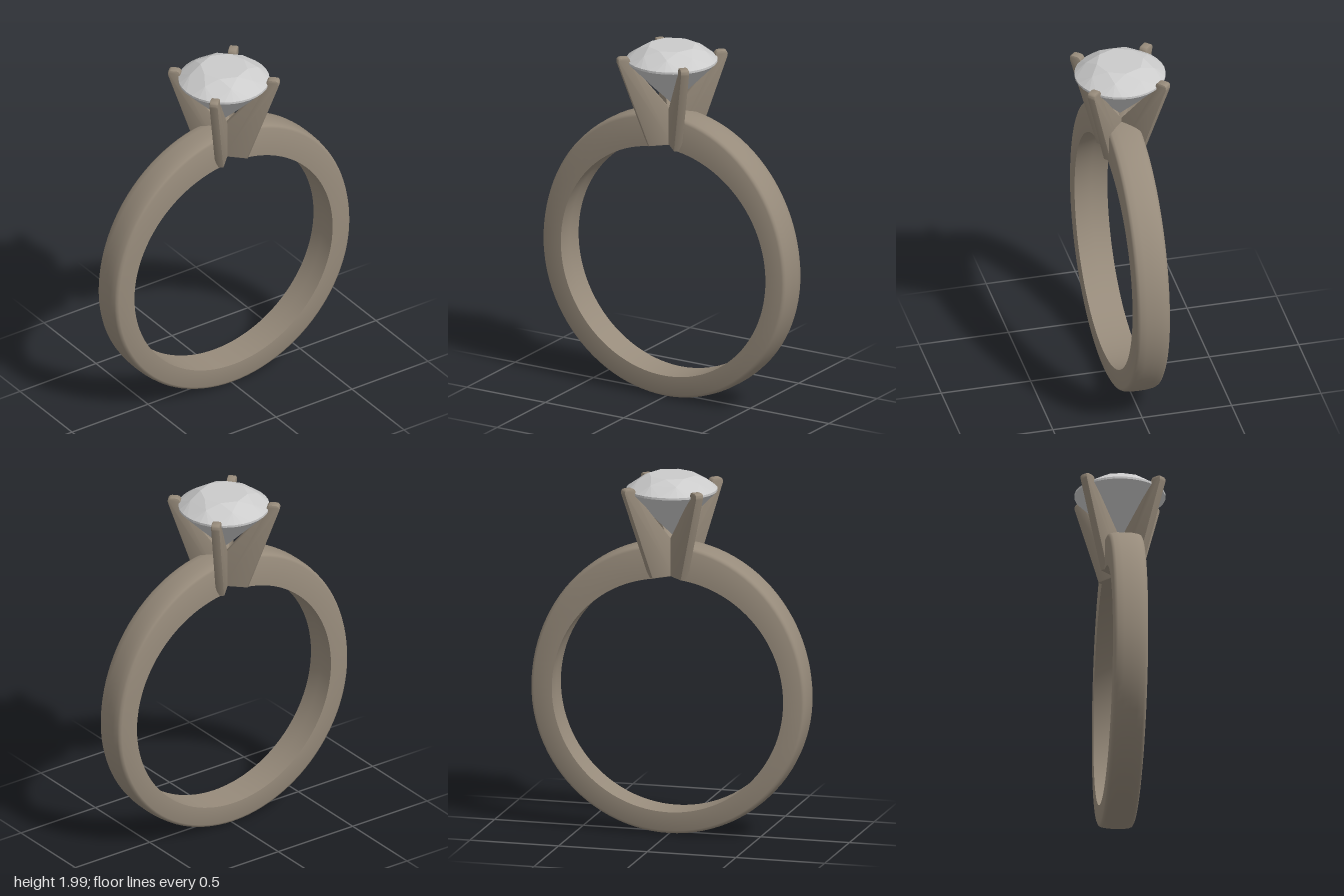
import * as THREE from 'three';
import { toCreasedNormals } from 'three/addons/utils/BufferGeometryUtils.js';
import { ConvexGeometry } from 'three/addons/geometries/ConvexGeometry.js';

const CENTRE_Y = 0.785;
const INNER_R = 0.652;

// Outer radius of the band, thickening towards the setting (a = angle from the top)
const outerRadius = (a) => 0.778 + 0.067 * Math.max(0, Math.cos(a)) ** 2;

// Band swept as cross-sections; its ends are mitred to meet the setting
function bandGeometry() {
  const half = 0.092;
  // [z, drop below the outer radius] with null for the inner surface
  const section = [
    [half, 0.024], [0.086, 0.012], [0.074, 0.006], [0.04, 0.001], [0, 0],
    [-0.04, 0.001], [-0.074, 0.006], [-0.086, 0.012], [-half, 0.024],
    [-half, null], [0, null], [half, null],
  ];
  const steps = 96, n = section.length;
  const positions = [], index = [];
  for (let i = 0; i <= steps; i++) {
    for (const [z, drop] of section) {
      const start = Math.abs(z) / 0.75;
      const a = start + (i / steps) * (2 * Math.PI - 2 * start);
      const r = drop === null ? INNER_R : outerRadius(a) - drop;
      positions.push(Math.sin(a) * r, CENTRE_Y + Math.cos(a) * r, z);
    }
  }
  for (let i = 0; i < steps; i++) {
    for (let j = 0; j < n; j++) {
      const k = (j + 1) % n;
      const a = i * n + j, b = a + n, c = i * n + k, d = c + n;
      index.push(a, b, c, b, d, c);
    }
  }
  const geometry = new THREE.BufferGeometry();
  geometry.setAttribute('position', new THREE.Float32BufferAttribute(positions, 3));
  geometry.setIndex(index);
  return toCreasedNormals(geometry, 0.7);
}

// Prong plate: leans outward from the axis, with a small rounded tip
function prongGeometry() {
  const shape = new THREE.Shape();
  shape.moveTo(0, 1.435);
  shape.lineTo(0.135, 1.435);
  shape.lineTo(0.306, 1.92);
  shape.quadraticCurveTo(0.312, 1.95, 0.288, 1.952);
  shape.lineTo(0.258, 1.952);
  shape.quadraticCurveTo(0.238, 1.95, 0.236, 1.925);
  shape.lineTo(0.225, 1.905);
  shape.lineTo(0, 1.625);
  const bevel = 0.007, width = 0.048;
  const geometry = new THREE.ExtrudeGeometry(shape, {
    depth: width - 2 * bevel, curveSegments: 5,
    bevelThickness: bevel, bevelSize: bevel, bevelOffset: -bevel, bevelSegments: 2,
  });
  geometry.translate(0, 0, -width / 2 + bevel);
  return toCreasedNormals(geometry, 0.6);
}

// Round brilliant-cut stone: rings of facet corners wrapped in a convex hull
function stoneGeometry() {
  const points = [new THREE.Vector3(0, 1.665, 0)];
  const ring = (count, r, y, turn = 0) => {
    for (let i = 0; i < count; i++) {
      const a = ((i + turn) / count) * Math.PI * 2;
      points.push(new THREE.Vector3(Math.cos(a) * r, y, Math.sin(a) * r));
    }
  };
  ring(8, 0.13, 2.0);           // table
  ring(8, 0.188, 1.972, 0.5);   // crown
  ring(32, 0.248, 1.924);       // girdle
  ring(32, 0.248, 1.912);
  ring(16, 0.125, 1.787, 0.5);  // pavilion
  return new ConvexGeometry(points);
}

export function createModel() {
  const model = new THREE.Group();
  model.name = 'ring';
  const metal = new THREE.MeshStandardMaterial({ color: 0x978b7b });
  const gem = new THREE.MeshStandardMaterial({ color: 0xcccccc, flatShading: true });

  const add = (parent, geometry, material, name) => {
    const mesh = new THREE.Mesh(geometry, material);
    mesh.name = name;
    parent.add(mesh);
    return mesh;
  };

  add(model, bandGeometry(), metal, 'band');

  // Four prongs crossing at the axis
  const setting = new THREE.Group();
  setting.name = 'setting';
  const prong = prongGeometry();
  for (let i = 0; i < 4; i++) {
    add(setting, prong, metal, 'prong').rotation.y = Math.PI / 4 + (i * Math.PI) / 2;
  }
  model.add(setting);

  add(model, stoneGeometry(), gem, 'stone');
  return model;
}
